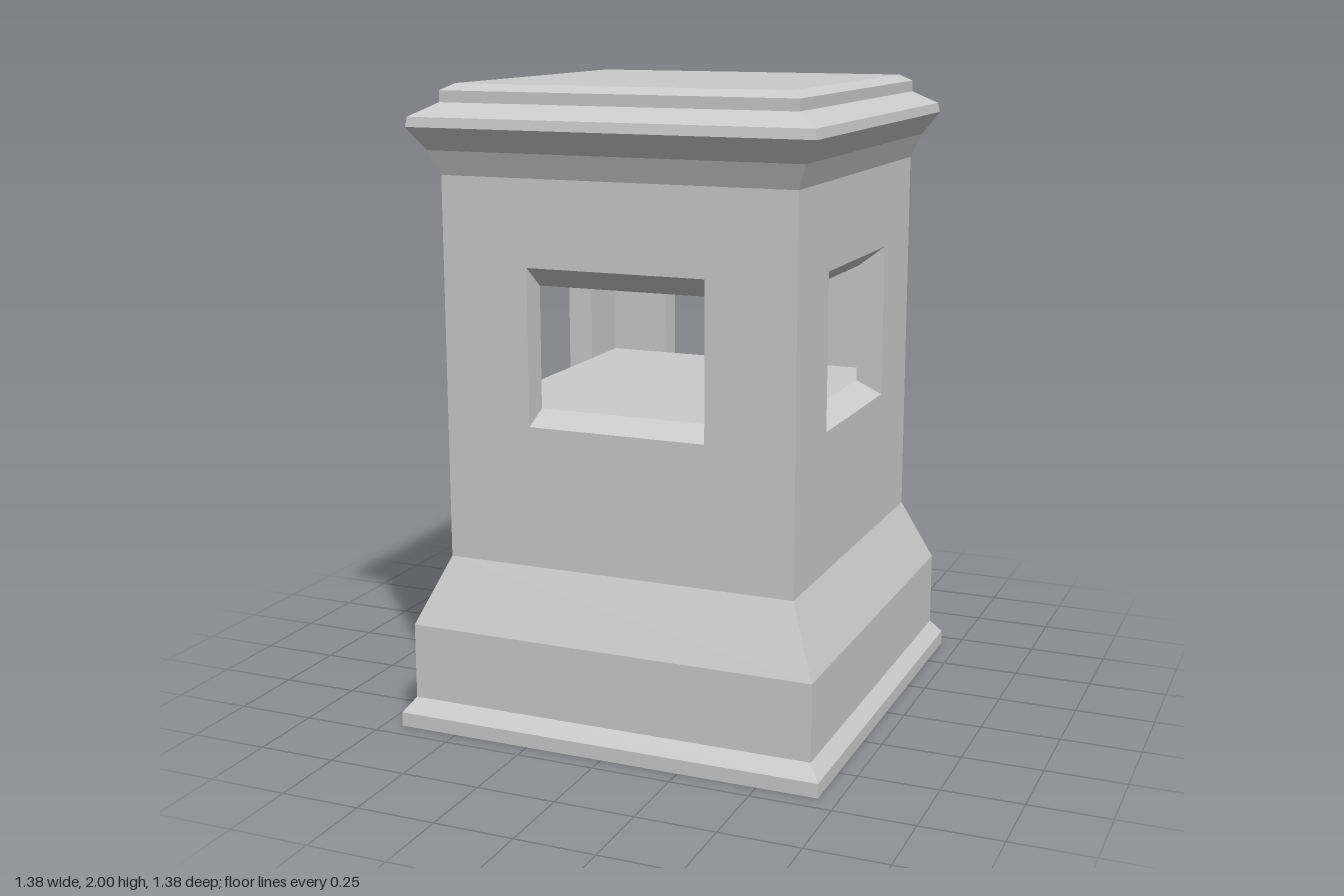
import * as THREE from 'three';

const material = new THREE.MeshStandardMaterial({ color: 0xcccccc, flatShading: true });

const WALL = 0.565;   // half width of the shaft
const INNER = 0.48;   // half width of the chamber
const OPENING = 0.285; // half width of each window
const SILL = 0.98, FLOOR = 1.02, CEILING = 1.4, LINTEL = 1.465;

// Square solid from a profile of [half width, height], bottom to top
function squareLoft(name, profile) {
  const points = profile.map(([r, y]) => new THREE.Vector2(r * Math.SQRT2, y));
  const geometry = new THREE.LatheGeometry(points, 4).rotateY(Math.PI / 4).toNonIndexed();
  geometry.computeVertexNormals();
  const mesh = new THREE.Mesh(geometry, material);
  mesh.name = name;
  return mesh;
}

export function createModel() {
  const model = new THREE.Group();
  model.name = 'pedestal';

  // Plinth and lower shaft, ending in sloped sills and the chamber floor
  model.add(squareLoft('lowerShaft', [
    [0, 0], [0.69, 0], [0.69, 0.045], [0.655, 0.09], [0.655, 0.33],
    [WALL, 0.54], [WALL, SILL], [INNER, FLOOR], [0, FLOOR],
  ]));

  // Chamber ceiling, sloped lintels, upper shaft, cornice and cap
  model.add(squareLoft('cornice', [
    [0, CEILING], [INNER, CEILING], [WALL, LINTEL], [WALL, 1.73],
    [0.595, 1.805], [0.64, 1.875], [0.635, 1.905], [0.565, 1.945],
    [0.565, 1.98], [0.53, 2], [0, 2],
  ]));

  // L-shaped corner posts framing the four windows
  const section = new THREE.Shape([
    [OPENING, INNER], [INNER, INNER], [INNER, OPENING],
    [WALL, OPENING], [WALL, WALL], [OPENING, WALL],
  ].map(([x, y]) => new THREE.Vector2(x, y)));
  const postGeometry = new THREE.ExtrudeGeometry(section, { depth: LINTEL - SILL, bevelEnabled: false })
    .rotateX(-Math.PI / 2)
    .translate(0, SILL, 0);
  for (let i = 0; i < 4; i++) {
    const post = new THREE.Mesh(postGeometry, material);
    post.name = 'cornerPost';
    post.rotation.y = i * Math.PI / 2;
    model.add(post);
  }

  return model;
}
